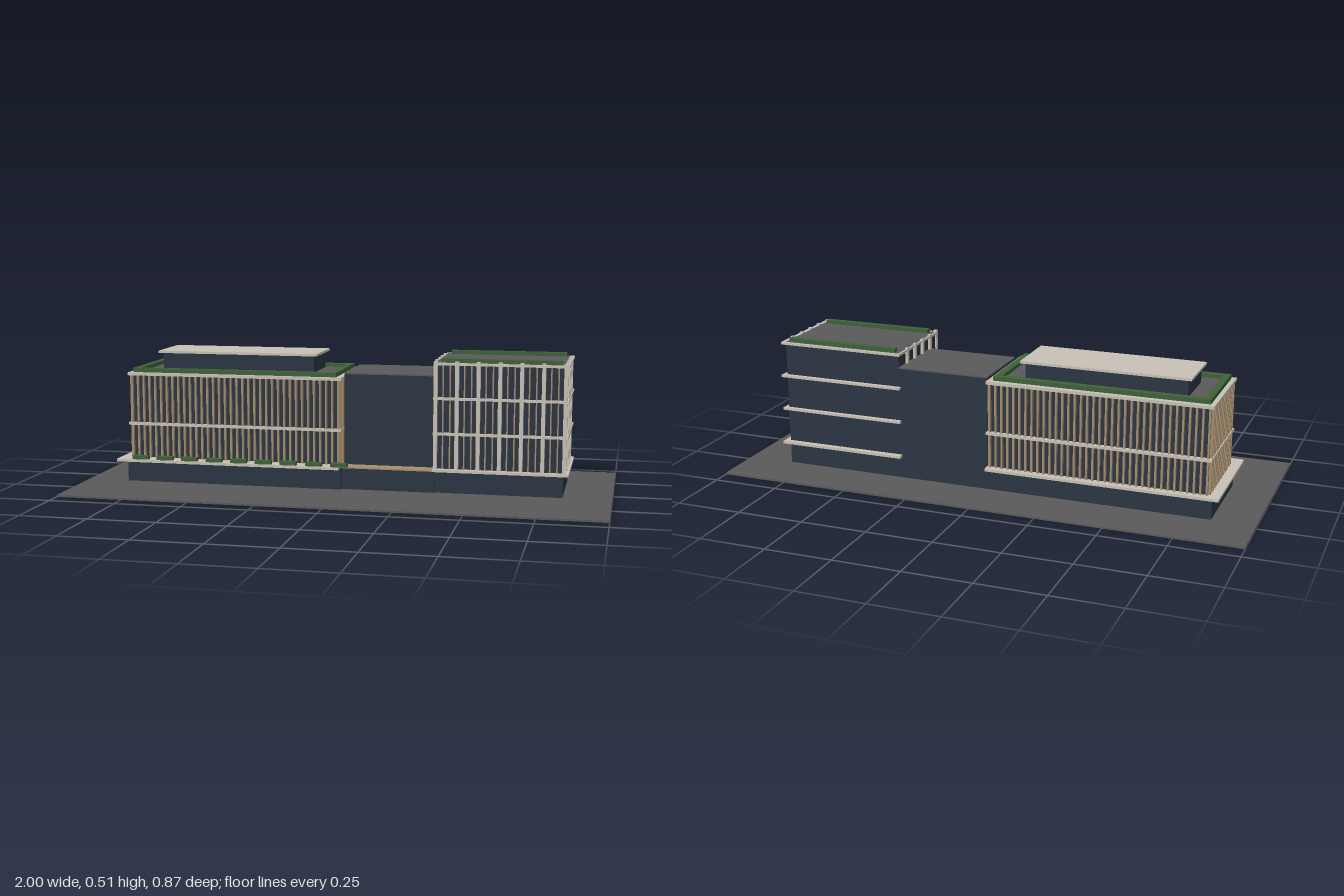
import * as THREE from 'three';

const mat = (name, color) => {
  const m = new THREE.MeshStandardMaterial({ color });
  m.name = name;
  return m;
};

export function createModel() {
  const model = new THREE.Group();
  model.name = 'officeBuilding';

  const paving = mat('dark grey paving', 0x5a5a5a);
  const glass = mat('dark blue glass', 0x2c3643);
  const stone = mat('pale stone', 0xc8c1b6);
  const timber = mat('tan timber', 0xa58d6e);
  const green = mat('planting green', 0x3f6239);

  // Box given by its extents on each axis
  const box = (parent, name, material, [x0, x1], [y0, y1], [z0, z1]) => {
    const mesh = new THREE.Mesh(new THREE.BoxGeometry(x1 - x0, y1 - y0, z1 - z0), material);
    mesh.position.set((x0 + x1) / 2, (y0 + y1) / 2, (z0 + z1) / 2);
    mesh.name = name;
    parent.add(mesh);
    return mesh;
  };
  const group = (name) => {
    const g = new THREE.Group();
    g.name = name;
    model.add(g);
    return g;
  };
  // Evenly spaced values, both ends included
  const spread = (a, b, n) => Array.from({ length: n }, (_, i) => a + ((b - a) * i) / (n - 1));
  const around = (c, w) => [c - w / 2, c + w / 2];

  box(model, 'ground', paving, [-1, 1], [0, 0.007], [-0.435, 0.435]);

  // ---- Long wing with dense timber fins ----
  const west = group('longWing');
  box(west, 'base', glass, [-0.84, 0], [0.007, 0.088], [-0.24, 0.12]);
  box(west, 'terraceSlab', stone, [-0.87, 0], [0.088, 0.098], [-0.273, 0.161]);
  box(west, 'glassBody', glass, [-0.822, -0.012], [0.098, 0.416], [-0.24, 0.097]);
  box(west, 'floorBand', stone, [-0.837, 0], [0.224, 0.234], [-0.257, 0.112]);
  box(west, 'roofSlab', stone, [-0.837, 0], [0.416, 0.427], [-0.257, 0.112]);
  box(west, 'roofDeck', paving, [-0.79, -0.05], [0.427, 0.43], [-0.21, 0.07]);

  const finY = [0.098, 0.416];
  for (const x of spread(-0.822, -0.012, 36)) {
    box(west, 'frontFin', timber, around(x, 0.007), finY, [0.097, 0.109]);
    box(west, 'backFin', timber, around(x, 0.007), finY, [-0.252, -0.24]);
  }
  for (const z of spread(-0.235, 0.092, 15)) {
    box(west, 'leftEndFin', timber, [-0.834, -0.822], finY, around(z, 0.007));
    box(west, 'rightEndFin', timber, [-0.012, -0.001], finY, around(z, 0.007));
  }

  // Hedge around the roof edge
  const hedgeY = [0.427, 0.443];
  for (const z of [-0.223, 0.083]) box(west, 'roofHedge', green, [-0.82, -0.022], hedgeY, around(z, 0.026));
  for (const x of [-0.807, -0.035]) box(west, 'roofHedgeEnd', green, around(x, 0.026), hedgeY, [-0.21, 0.07]);

  // Rooftop pavilion
  box(west, 'pavilion', glass, [-0.73, -0.13], [0.427, 0.494], [-0.195, 0]);
  box(west, 'pavilionRoof', stone, [-0.745, -0.115], [0.494, 0.503], [-0.21, 0.015]);

  // Shrubs on the terrace
  for (const x of spread(-0.777, 0, 9)) {
    box(west, 'terraceShrub', green, around(x, 0.062), [0.098, 0.112], [0.133, 0.156]);
  }

  // ---- Link between the wings ----
  const link = group('link');
  box(link, 'linkBase', glass, [0, 0.352], [0.007, 0.086], [-0.24, 0.105]);
  box(link, 'timberDeck', timber, [0, 0.352], [0.086, 0.091], [0.045, 0.105]);
  box(link, 'linkBody', glass, [0, 0.352], [0.086, 0.434], [-0.24, 0.045]);
  box(link, 'linkRoof', paving, [0, 0.352], [0.434, 0.439], [-0.24, 0.045]);

  // ---- Taller wing with stone fins ----
  const east = group('tallWing');
  box(east, 'base', glass, [0.352, 0.822], [0.007, 0.088], [-0.24, 0.097]);
  box(east, 'podiumSlab', stone, [0.345, 0.843], [0.088, 0.098], [-0.262, 0.12]);
  box(east, 'glassBody', glass, [0.352, 0.822], [0.098, 0.487], [-0.24, 0.097]);
  for (const y of [0.229, 0.36]) {
    box(east, 'floorBand', stone, [0.345, 0.838], around(y, 0.009), [-0.257, 0.112]);
  }

  // Roof edge frame around a grey deck
  const rimY = [0.483, 0.492];
  box(east, 'roofRimFront', stone, [0.345, 0.838], rimY, [0.097, 0.108]);
  box(east, 'roofRimBack', stone, [0.345, 0.838], rimY, [-0.25, -0.24]);
  box(east, 'roofRimRight', stone, [0.345, 0.352], rimY, [-0.24, 0.097]);
  box(east, 'roofRimLeft', stone, [0.822, 0.838], rimY, [-0.24, 0.097]);
  box(east, 'roofDeck', paving, [0.352, 0.822], [0.487, 0.492], [-0.24, 0.097]);

  const tallY = [0.098, 0.497];
  const thinY = [0.098, 0.483];
  const frontX = spread(0.354, 0.826, 7);
  frontX.forEach((x, i) => {
    box(east, 'frontFin', stone, around(x, 0.014), tallY, [0.096, 0.112]);
    // Thin timber mullions between the stone fins
    if (i < 6) for (const d of [0.027, 0.053]) {
      box(east, 'frontMullion', timber, around(x + d, 0.005), thinY, [0.097, 0.104]);
    }
  });
  for (let i = 0; i < 5; i++) {
    const z = 0.104 - i * 0.069;
    if (i > 0) {
      box(east, 'leftFin', stone, [0.821, 0.836], tallY, around(z, 0.015));
      box(east, 'rightFin', stone, [0.342, 0.353], tallY, around(z, 0.015));
    }
    for (const d of [0.023, 0.046]) {
      box(east, 'leftMullion', timber, [0.822, 0.829], thinY, around(z - d, 0.005));
    }
  }

  // Roof planters
  for (const z of [0.077, -0.221]) {
    box(east, 'roofPlanter', green, [0.37, 0.81], [0.492, 0.506], around(z, 0.023));
  }

  return model;
}
